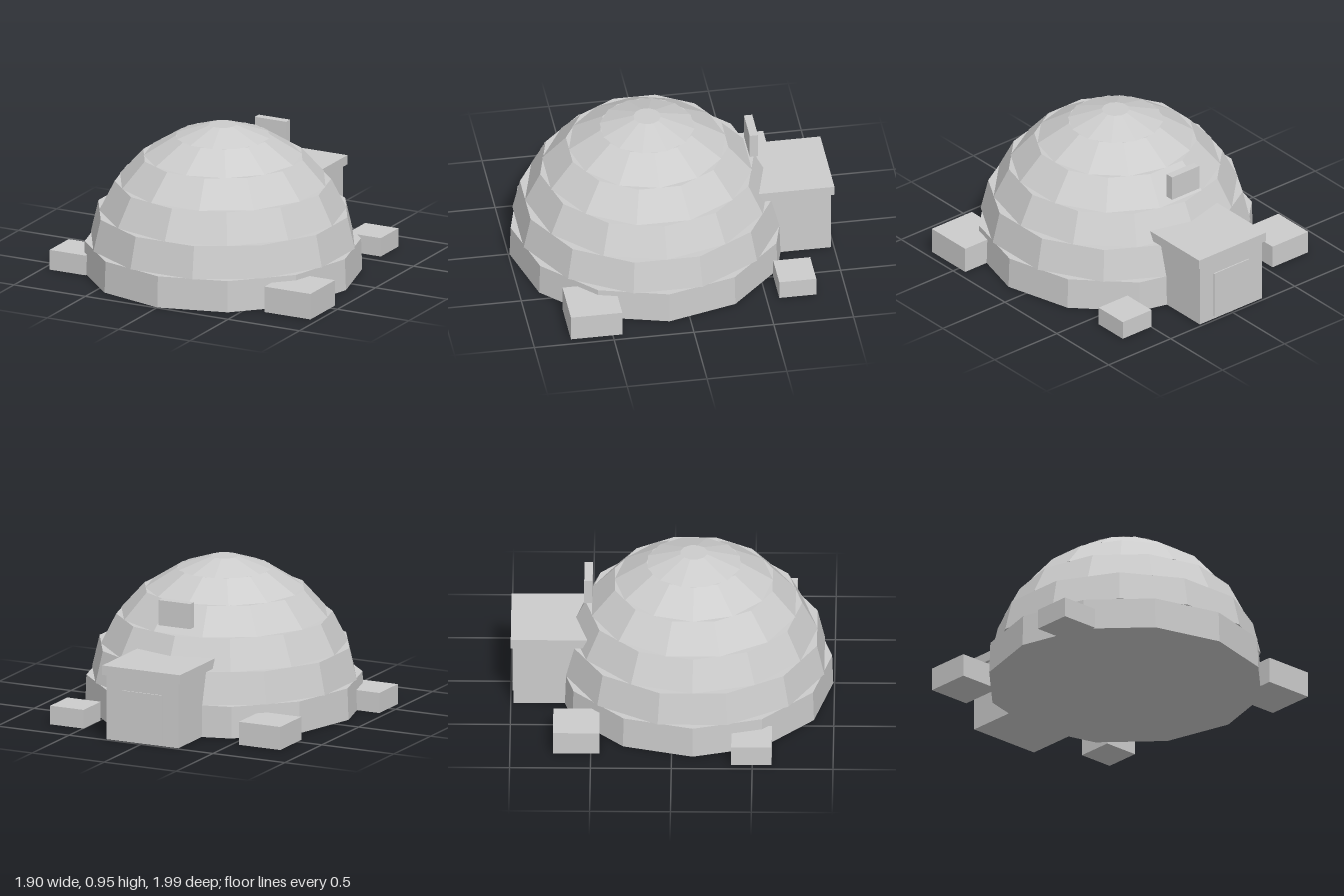
import * as THREE from 'three';

export function createModel() {
  const model = new THREE.Group();
  model.name = 'igloo';
  const snow = new THREE.MeshStandardMaterial({ color: 0xcccccc });
  snow.name = 'snow';
  snow.flatShading = true;

  const add = (name, geometry, x, y, z) => {
    const mesh = new THREE.Mesh(geometry, snow);
    mesh.name = name;
    mesh.position.set(x, y, z);
    model.add(mesh);
    return mesh;
  };
  // Box given by its extents on each axis
  const box = (name, x0, x1, y0, y1, z0, z1) =>
    add(name, new THREE.BoxGeometry(x1 - x0, y1 - y0, z1 - z0),
      (x0 + x1) / 2, (y0 + y1) / 2, (z0 + z1) / 2);

  // Dome: stacked twelve-sided courses, every other one turned half a step
  const courses = [ // bottom y, top y, bottom radius, top radius
    [0, 0.2, 0.862, 0.855],
    [0.2, 0.4, 0.837, 0.79],
    [0.4, 0.587, 0.765, 0.67],
    [0.587, 0.752, 0.652, 0.505],
    [0.752, 0.877, 0.49, 0.293],
    [0.877, 0.95, 0.295, 0.085],
  ];
  courses.forEach(([y0, y1, r0, r1], i) => {
    const course = add('domeCourse' + (i + 1),
      new THREE.CylinderGeometry(r1, r0, y1 - y0, 12), 0, (y0 + y1) / 2, 0.13);
    course.rotation.y = i % 2 ? Math.PI / 12 : 0;
  });

  // Entrance porch at the back, with roof slab, thin door and a plaque above
  box('porchWalls', -0.25, 0.25, 0, 0.415, -0.982, -0.4);
  box('porchRoof', -0.27, 0.27, 0.412, 0.472, -1, -0.45);
  box('door', -0.14, 0.14, 0.02, 0.325, -0.99, -0.981);
  box('plaque', -0.11, 0.11, 0.645, 0.805, -0.547, -0.495);

  // Snow blocks around the base: centre x, centre z, width, height
  [
    [0.79, 0.602, 0.322, 0.165],
    [-0.828, 0.495, 0.25, 0.128],
    [-0.687, -0.59, 0.287, 0.147],
    [0.612, -0.695, 0.232, 0.119],
  ].forEach(([x, z, w, h], i) =>
    add('snowBlock' + (i + 1), new THREE.BoxGeometry(w, h, w), x, h / 2, z));

  return model;
}
